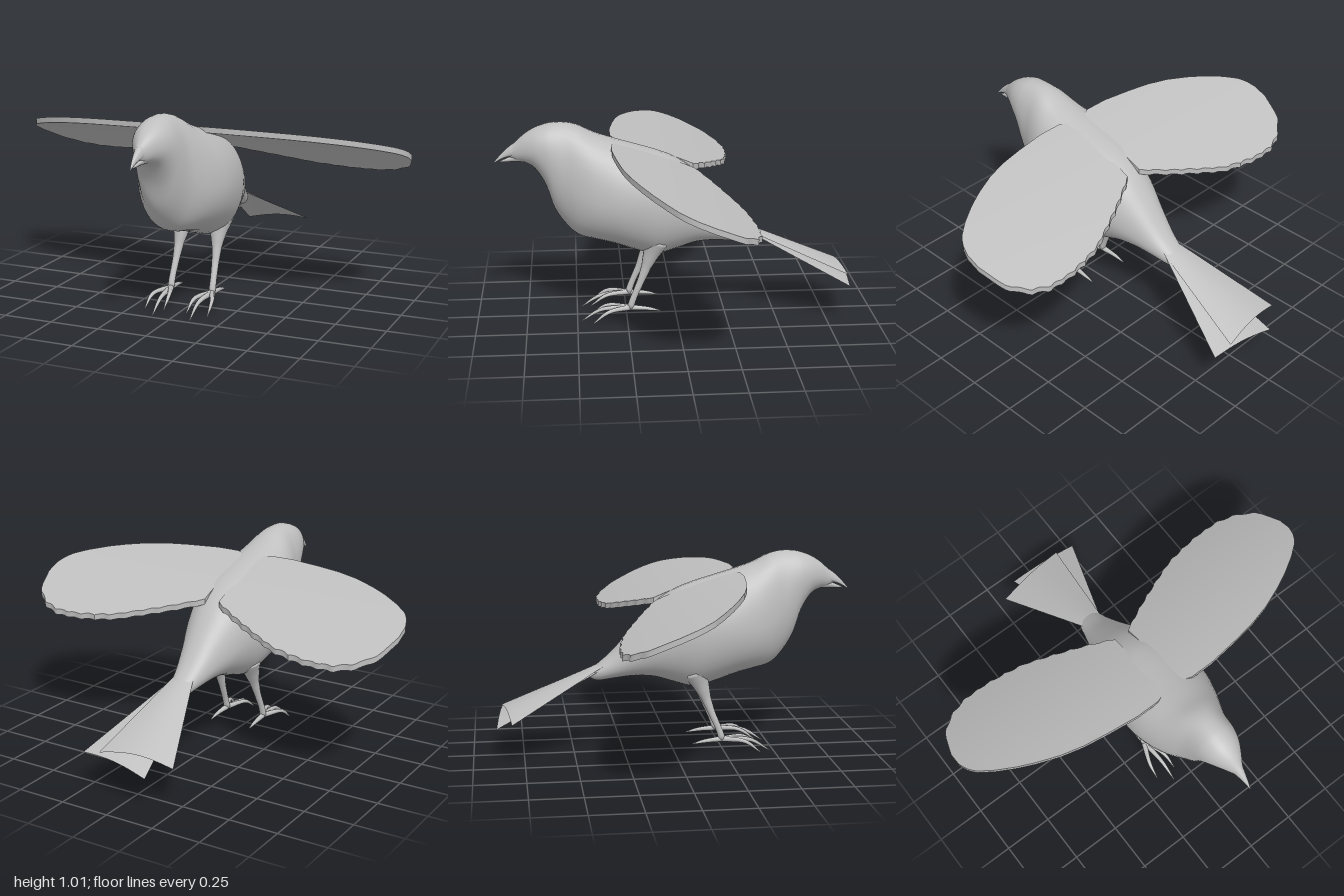
import * as THREE from 'three';
import { toCreasedNormals, mergeVertices } from 'three/addons/utils/BufferGeometryUtils.js';

const V = (x, y, z) => new THREE.Vector3(x, y, z);

// Joins closed rings of points into a capped skin that faces outward
function loft(rings, crease) {
  const n = rings[0].length, pts = rings.flat(), index = [];
  for (let i = 0; i < rings.length - 1; i++) {
    for (let j = 0; j < n; j++) {
      const a = i * n + j, b = i * n + (j + 1) % n;
      index.push(a, b, a + n, b, b + n, a + n);
    }
  }
  [0, rings.length - 1].forEach((r, end) => {
    const c = V(0, 0, 0);
    rings[r].forEach(p => c.addScaledVector(p, 1 / n));
    pts.push(c);
    for (let j = 0; j < n; j++) {
      const a = r * n + j, b = r * n + (j + 1) % n;
      index.push(pts.length - 1, end ? a : b, end ? b : a);
    }
  });
  let volume = 0;
  for (let i = 0; i < index.length; i += 3) {
    volume += pts[index[i]].dot(V(0, 0, 0).crossVectors(pts[index[i + 1]], pts[index[i + 2]]));
  }
  if (volume < 0) index.reverse();
  const g = new THREE.BufferGeometry().setFromPoints(pts);
  g.setIndex(index);
  if (crease) return toCreasedNormals(g, crease);
  g.computeVertexNormals();
  return g;
}

// Skin through rows of [z, top, bottom, half width, height of widest point]
function bodyLoft(rows, steps, sides) {
  const heights = new THREE.CatmullRomCurve3(rows.map(r => V(r[0], r[1], r[2])), false, 'catmullrom');
  const widths = new THREE.CatmullRomCurve3(rows.map(r => V(r[0], r[3], r[4])), false, 'catmullrom');
  const rings = [];
  for (let i = 0; i <= steps; i++) {
    const h = heights.getPoint(i / steps), w = widths.getPoint(i / steps), ring = [];
    for (let j = 0; j < sides; j++) {
      const a = j / sides * Math.PI * 2, c = Math.cos(a), s = Math.sin(a);
      const x = w.y * Math.sign(s) * Math.pow(Math.abs(s), 0.9);
      ring.push(V(x, w.z + c * (c > 0 ? h.y - w.z : w.z - h.z), h.x));
    }
    rings.push(ring);
  }
  return loft(rings);
}

// Tapered tube along a curve, with radii spread evenly over its length
function limb(points, radii, steps = 14, sides = 10) {
  const curve = new THREE.CatmullRomCurve3(points);
  const frames = curve.computeFrenetFrames(steps);
  const rings = [];
  for (let i = 0; i <= steps; i++) {
    const f = i / steps * (radii.length - 1), k = Math.min(Math.floor(f), radii.length - 2);
    const r = THREE.MathUtils.lerp(radii[k], radii[k + 1], f - k);
    const c = curve.getPointAt(i / steps), ring = [];
    for (let j = 0; j < sides; j++) {
      const a = j / sides * Math.PI * 2;
      ring.push(c.clone().addScaledVector(frames.normals[i], r * Math.cos(a))
        .addScaledVector(frames.binormals[i], r * Math.sin(a)));
    }
    rings.push(ring);
  }
  return loft(rings);
}

// Height along a polyline of [x, value]
function sample(line, x) {
  let i = 0;
  while (i < line.length - 2 && line[i + 1][0] < x) i++;
  const [a, b] = [line[i], line[i + 1]];
  return a[1] + (b[1] - a[1]) * (x - a[0]) / (b[0] - a[0]);
}

// Thin sloping wing with a scalloped trailing edge
function wingGeometry(side) {
  const lead = [[0.04, 0.3], [0.1, 0.32], [0.22, 0.32], [0.38, 0.3], [0.5, 0.28], [0.61, 0.25],
    [0.72, 0.205], [0.8, 0.165], [0.89, 0.11], [0.96, 0.055], [0.985, 0.015], [1, -0.03]];
  const trail = [[0.04, -0.1], [0.18, -0.175], [0.32, -0.24], [0.45, -0.295], [0.55, -0.315],
    [0.65, -0.33], [0.78, -0.33], [0.88, -0.295], [0.96, -0.225], [1, -0.1]];
  const rings = [], spans = 64, chord = 10;
  for (let i = 0; i <= spans; i++) {
    const x = 0.04 + 0.96 * i / spans;
    const zl = sample(lead, x);
    const scallop = 0.009 * Math.abs(Math.sin(x * 40)) * (x < 0.97 ? 1 : 0);
    const zt = sample(trail, x) + scallop;
    const top = [], bottom = [];
    for (let j = 0; j <= chord; j++) {
      const z = zl + (zt - zl) * j / chord;
      const y = 0.79 + 0.39 * z + 0.025 * (1 - (z / 0.33) ** 2);
      top.push(V(side * x, y, z));
      bottom.unshift(V(side * x, y - 0.028, z));
    }
    rings.push([...top, ...bottom]);
  }
  return loft(rings, 0.6);
}

// Arched feather sheet between a narrow base edge and a wide end edge
function featherGeometry(b0, b1, e0, e1, arch) {
  const g = new THREE.PlaneGeometry(1, 1, 12, 12), p = g.attributes.position;
  for (let i = 0; i < p.count; i++) {
    const u = p.getX(i) + 0.5, v = 0.5 - p.getY(i);
    const q = b0.clone().lerp(b1, u).lerp(e0.clone().lerp(e1, u), v);
    q.y += arch * Math.sin(Math.PI * u) * (0.4 + 0.6 * v);
    p.setXYZ(i, q.x, q.y, q.z);
  }
  g.computeVertexNormals();
  return g;
}

export function createModel() {
  const bird = new THREE.Group();
  bird.name = 'bird';
  const grey = new THREE.MeshStandardMaterial({ color: 0xbfbfbf, side: THREE.DoubleSide });
  grey.name = 'plain grey';
  const add = (parent, name, geometry) => {
    const mesh = new THREE.Mesh(geometry, grey);
    mesh.name = name;
    parent.add(mesh);
  };

  // Head, breast and rump in one smooth skin
  add(bird, 'body', bodyLoft([
    [0.82, 0.885, 0.845, 0.012, 0.865], [0.78, 0.92, 0.825, 0.035, 0.87], [0.74, 0.955, 0.815, 0.06, 0.88],
    [0.69, 0.985, 0.785, 0.088, 0.88], [0.64, 1.003, 0.7, 0.106, 0.86], [0.6, 1.01, 0.58, 0.117, 0.82],
    [0.54, 1.01, 0.49, 0.135, 0.74], [0.48, 0.995, 0.44, 0.165, 0.68], [0.4, 0.955, 0.42, 0.2, 0.65],
    [0.3, 0.92, 0.395, 0.225, 0.64], [0.2, 0.89, 0.36, 0.228, 0.63], [0.1, 0.86, 0.335, 0.215, 0.61],
    [0, 0.82, 0.36, 0.185, 0.59], [-0.1, 0.75, 0.39, 0.15, 0.55], [-0.2, 0.64, 0.395, 0.11, 0.5],
    [-0.3, 0.525, 0.385, 0.078, 0.45], [-0.38, 0.455, 0.375, 0.055, 0.42], [-0.43, 0.415, 0.395, 0.02, 0.405],
  ], 68, 40));

  // Slightly open beak
  add(bird, 'upperBeak', bodyLoft([
    [0.75, 0.93, 0.84, 0.04, 0.87], [0.8, 0.905, 0.845, 0.025, 0.865],
    [0.845, 0.868, 0.835, 0.013, 0.845], [0.89, 0.818, 0.81, 0.002, 0.813],
  ], 12, 14));
  add(bird, 'lowerBeak', bodyLoft([
    [0.73, 0.86, 0.815, 0.035, 0.84], [0.79, 0.85, 0.817, 0.02, 0.835], [0.86, 0.822, 0.815, 0.003, 0.818],
  ], 8, 12));

  // Overlapping tail feathers
  const tail = new THREE.Group();
  tail.name = 'tail';
  bird.add(tail);
  add(tail, 'upperTailFeathers', featherGeometry(
    V(-0.055, 0.455, -0.35), V(0.055, 0.455, -0.35), V(-0.24, 0.215, -0.81), V(0.135, 0.23, -0.86), 0.03));
  add(tail, 'lowerTailFeathers', featherGeometry(
    V(-0.05, 0.435, -0.36), V(0.055, 0.445, -0.36), V(-0.135, 0.17, -0.885), V(0.235, 0.205, -0.85), 0.02));

  for (const side of [1, -1]) {
    const name = side > 0 ? 'left' : 'right';
    add(bird, name + 'Wing', wingGeometry(side));

    // Leg with three forward toes and one behind
    const leg = new THREE.Group();
    leg.name = name + 'Leg';
    bird.add(leg);
    const ankle = V(side * 0.11, 0.078, 0.235);
    add(leg, 'shank', limb([V(side * 0.1, 0.43, 0.1), V(side * 0.1, 0.34, 0.135),
      V(side * 0.105, 0.22, 0.18), V(side * 0.11, 0.12, 0.222), ankle],
    [0.065, 0.042, 0.025, 0.018, 0.016, 0.017], 20, 14));
    const toes = [[-0.05, 0.025, 0.43], [-0.012, 0.008, 0.478], [0.055, 0.018, 0.42], [0.005, 0.058, 0.085]];
    toes.forEach(([dx, y, z], i) => {
      const tip = V(side * (0.11 + dx), y, z);
      const knuckle = ankle.clone().lerp(tip, 0.6);
      knuckle.x += side * dx * 0.25;
      knuckle.y += i < 3 ? 0.03 : 0.004;
      add(leg, i < 3 ? 'frontToe' : 'backToe', limb([ankle, knuckle, tip], [0.015, 0.012, 0.009, 0.003], 10, 8));
    });
  }
  return bird;
}
